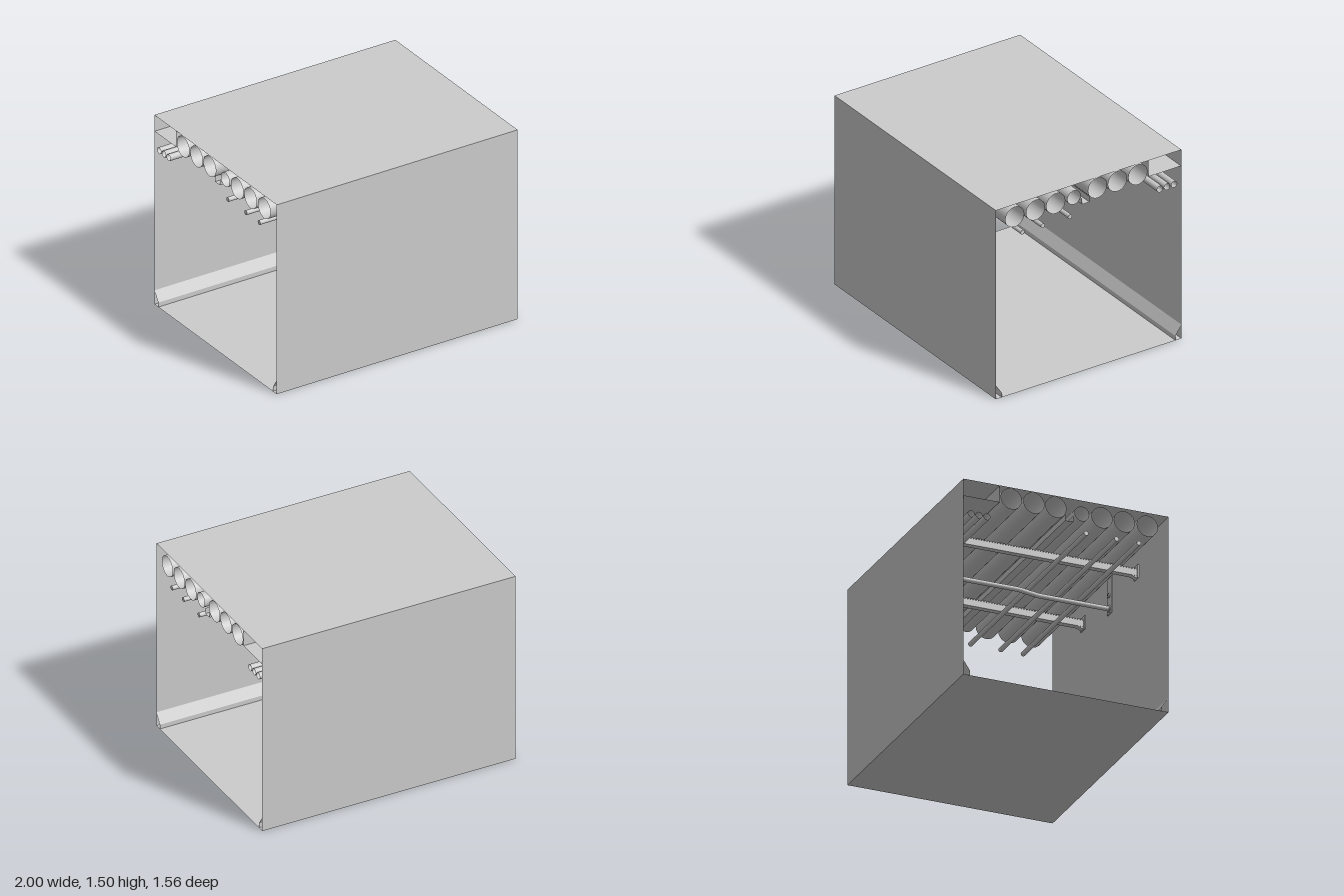
import * as THREE from 'three';

export function createModel() {
  const root = new THREE.Group();
  const solid = new THREE.MeshStandardMaterial({ color: 0xcccccc });
  const sheet = new THREE.MeshStandardMaterial({ color: 0xcccccc, side: THREE.DoubleSide });
  const W = 2, H = 1.5, Z = 0.78;

  function add(name, geo, x, y, z, mat = solid, parent = root) {
    const m = new THREE.Mesh(geo, mat);
    m.name = name;
    m.position.set(x, y, z);
    parent.add(m);
    return m;
  }
  const box = (name, w, h, d, x, y, z, parent) =>
    add(name, new THREE.BoxGeometry(w, h, d), x, y, z, solid, parent);

  // Pipe along the full length of the tunnel
  function longPipe(name, r, y, z, open) {
    const geo = new THREE.CylinderGeometry(r, r, W, 32, 1, open).rotateZ(Math.PI / 2);
    return add(name, geo, 0, y, z, open ? sheet : solid);
  }

  // Flat strip along x between two (y, z) points, for thin open sections
  function strip(name, a, b) {
    const dy = b[0] - a[0], dz = b[1] - a[1];
    const geo = new THREE.PlaneGeometry(W, Math.hypot(dy, dz));
    geo.rotateX(Math.atan2(dz, dy));
    return add(name, geo, 0, (a[0] + b[0]) / 2, (a[1] + b[1]) / 2, sheet);
  }
  function section(name, points) {
    for (let i = 1; i < points.length; i++) strip(name, points[i - 1], points[i]);
  }

  // Tunnel shell, open at both ends
  strip('floor', [0, -Z], [0, Z]);
  strip('ceiling', [H, -Z], [H, Z]);
  strip('frontWall', [0, Z], [H, Z]);
  strip('backWall', [0, -Z], [H, -Z]);

  // Chamfered kerbs at the foot of both walls
  for (const s of [-1, 1])
    section('kerb', [[0.11, s * Z], [0.035, s * (Z - 0.05)], [0, s * (Z - 0.05)]]);

  // Air duct in the upper back corner
  section('airDuct', [[H - 0.003, -0.505], [1.372, -0.505], [1.372, -Z + 0.003]]);

  // Large open pipes resting on the beams
  for (const z of [0.62, 0.445, 0.275]) longPipe('largePipe', 0.079, 1.4, z, true);
  for (const z of [-0.075, -0.243, -0.415]) longPipe('largePipe', 0.079, 1.415, z, true);
  longPipe('mediumPipe', 0.055, 1.4, 0.122, true);

  // Small cable tray between the pipes
  section('cableTray', [[1.37, 0.055], [1.325, 0.055], [1.325, -0.005], [1.37, -0.005]]);

  // Thin conduits under the beams
  for (const z of [0.555, 0.385, 0.155]) longPipe('conduit', 0.017, 1.257, z, false);

  // Bundle of small pipes along the back wall
  for (const z of [-0.6, -0.66, -0.72]) longPipe('bundlePipe', 0.025, 1.243, z, true);

  // Cross beams with wall brackets
  for (const x of [-0.46, 0.46]) {
    const beam = new THREE.Group();
    beam.name = 'crossBeam';
    beam.position.x = x;
    root.add(beam);
    box('web', 0.04, 0.044, 2 * Z - 0.01, 0, 1.295, 0, beam);
    for (const y of [1.27, 1.32]) box('flange', 0.046, 0.006, 2 * Z - 0.01, 0, y, 0, beam);
    box('wallPlate', 0.07, 0.1, 0.01, 0, 1.3, Z - 0.007, beam);
    const gusset = new THREE.Shape([[0, 1.27], [0, 1.25], [0.015, 1.255], [0.055, 1.27]]
      .map(([u, v]) => new THREE.Vector2(u, v)));
    const g = new THREE.ExtrudeGeometry(gusset, { depth: 0.04, bevelEnabled: false });
    g.rotateY(Math.PI / 2);
    add('gusset', g, -0.02, 0, Z - 0.01, solid, beam);
  }

  // Bent cross pipe below the beams, joining the wall plate to the bundle
  const bend = new THREE.CurvePath();
  const pts = [[1.218, 0.775], [1.218, 0.23], [1.238, 0.08], [1.238, -0.6]]
    .map(([y, z]) => new THREE.Vector3(0, y, z));
  for (let i = 1; i < pts.length; i++) bend.add(new THREE.LineCurve3(pts[i - 1], pts[i]));
  add('bentPipe', new THREE.TubeGeometry(bend, 60, 0.018, 20, false), 0, 0, 0, sheet);
  add('pipeEnd', new THREE.CylinderGeometry(0.022, 0.022, 0.06, 24).rotateX(Math.PI / 2), 0, 1.238, -0.62);
  add('elbow', new THREE.SphereGeometry(0.027, 24, 16), 0, 1.24, -0.595);
  add('riser', new THREE.CylinderGeometry(0.024, 0.024, 0.07, 24), 0, 1.275, -0.595);
  add('riserCap', new THREE.SphereGeometry(0.025, 24, 16), 0, 1.308, -0.595);
  box('pipeWallPlate', 0.07, 0.315, 0.008, 0, 1.338, Z - 0.006);
  add('pipeCollar', new THREE.CylinderGeometry(0.026, 0.026, 0.012, 24).rotateX(Math.PI / 2), 0, 1.218, Z - 0.012);
  add('plateBolt', new THREE.CylinderGeometry(0.017, 0.017, 0.012, 20).rotateX(Math.PI / 2), 0, 1.32, Z - 0.012);

  return root;
}
